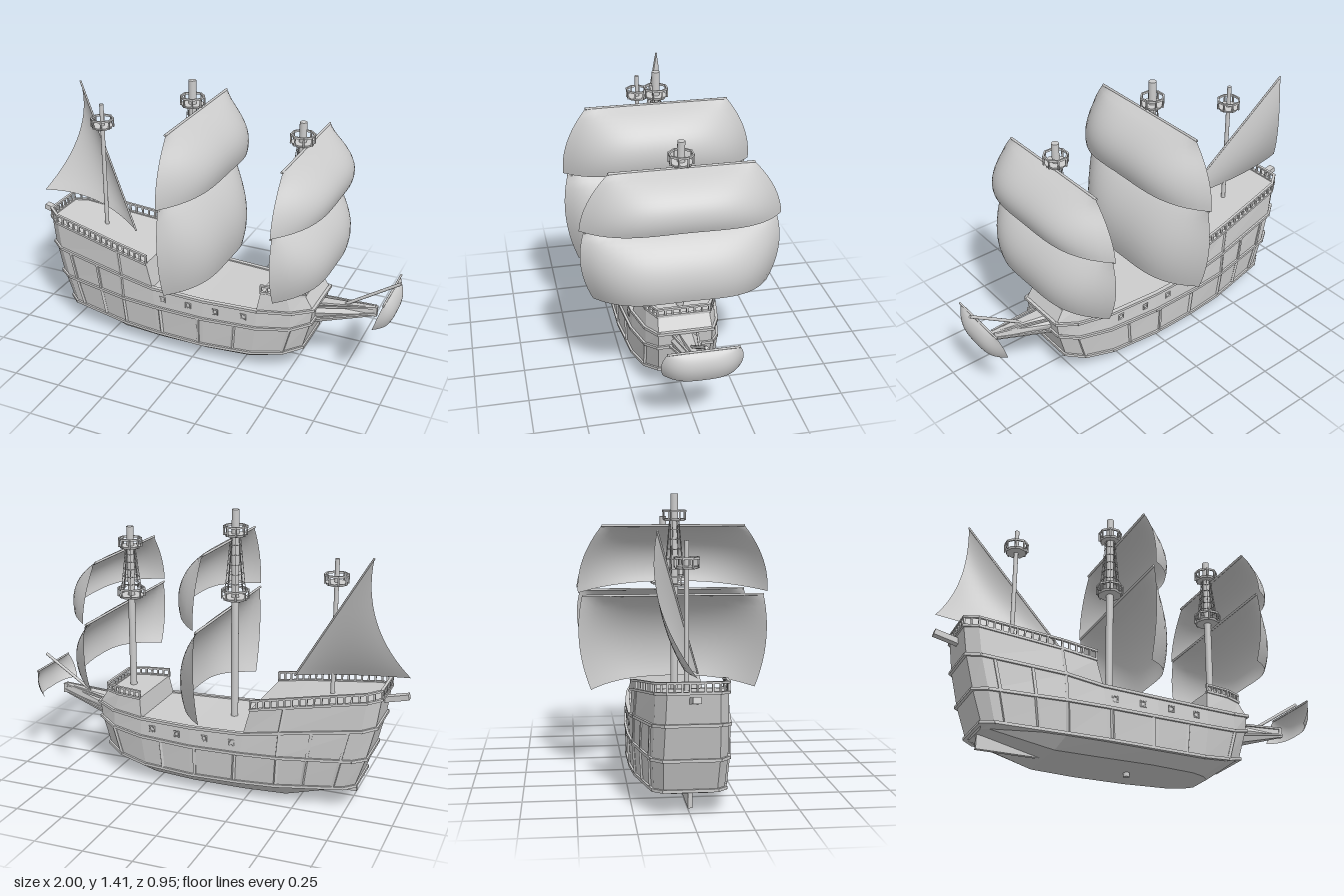
import * as THREE from 'three';
import { mergeGeometries } from 'three/addons/utils/BufferGeometryUtils.js';

const V = (x, y, z) => new THREE.Vector3(x, y, z);
const flip = (p) => V(p.x, p.y, -p.z);
const pts = (rows) => rows.map((r) => V(...r));

// Half outlines of the hull, stern to bow, one per height level
const KEEL = pts([[-0.77, 0.1, 0.08], [-0.74, 0.095, 0.11], [-0.44, 0.025, 0.155], [-0.22, 0.02, 0.165],
  [0.05, 0.02, 0.165], [0.28, 0.02, 0.14], [0.35, 0.02, 0.11], [0.39, 0.02, 0.07]]);
const CHINE = pts([[-0.78, 0.115, 0.12], [-0.73, 0.11, 0.16], [-0.4, 0.09, 0.215], [-0.21, 0.085, 0.228],
  [0.05, 0.08, 0.228], [0.31, 0.085, 0.205], [0.46, 0.105, 0.17], [0.55, 0.135, 0.12]]);
const WALE = pts([[-0.83, 0.265, 0.125], [-0.77, 0.26, 0.168], [-0.41, 0.245, 0.226], [-0.22, 0.24, 0.236],
  [0.05, 0.235, 0.234], [0.33, 0.24, 0.212], [0.5, 0.255, 0.175], [0.59, 0.285, 0.13]]);
const SHEER = pts([[-0.87, 0.43, 0.12], [-0.81, 0.42, 0.165], [-0.42, 0.375, 0.222], [-0.235, 0.345, 0.23],
  [0.05, 0.335, 0.226], [0.33, 0.335, 0.205], [0.5, 0.345, 0.172], [0.6, 0.365, 0.13]]);
const POOP = pts([[-0.89, 0.575, 0.115], [-0.83, 0.565, 0.16], [-0.44, 0.505, 0.213], [-0.27, 0.475, 0.226]]);
const FORE = pts([[0.345, 0.435, 0.185], [0.47, 0.435, 0.165], [0.555, 0.435, 0.125]]);

// Closed solid through mirrored half outlines, capped at both ends
function loft(rings) {
  const pos = [];
  const quad = (a, b, c, d) => [a, b, c, a, c, d].forEach((p) => pos.push(p.x, p.y, p.z));
  const loops = rings.map((r) => [...r, ...r.map(flip).reverse()]);
  const n = loops[0].length;
  for (let k = 0; k + 1 < loops.length; k++)
    for (let i = 0; i < n; i++) {
      const j = (i + 1) % n;
      quad(loops[k][i], loops[k][j], loops[k + 1][j], loops[k + 1][i]);
    }
  const lo = rings[0], hi = rings[rings.length - 1];
  for (let i = 0; i + 1 < lo.length; i++) {
    quad(hi[i], hi[i + 1], flip(hi[i + 1]), flip(hi[i]));
    quad(flip(lo[i]), flip(lo[i + 1]), lo[i + 1], lo[i]);
  }
  const g = new THREE.BufferGeometry();
  g.setAttribute('position', new THREE.Float32BufferAttribute(pos, 3));
  g.computeVertexNormals();
  return g;
}

// Square timber between two points
function beam(a, b, w, h = w) {
  const g = new THREE.BoxGeometry(w, h, a.distanceTo(b) + w * 0.5);
  const m = new THREE.Matrix4().lookAt(a, b, V(0, 1, 0)).setPosition(a.clone().lerp(b, 0.5));
  return g.applyMatrix4(m);
}
const chain = (path, w, h) => path.slice(1).map((p, i) => beam(path[i], p, w, h));
const pole = (a, b, r) => {
  const g = new THREE.CylinderGeometry(r, r, a.distanceTo(b), 10);
  const q = new THREE.Quaternion().setFromUnitVectors(V(0, 1, 0), b.clone().sub(a).normalize());
  g.applyQuaternion(q);
  return g.translate((a.x + b.x) / 2, (a.y + b.y) / 2, (a.z + b.z) / 2);
};

// Balustrade with posts along a path
function railing(path, height) {
  const up = path.map((p) => V(p.x, p.y + height, p.z));
  const out = [...chain(path, 0.016, 0.012), ...chain(up, 0.014, 0.01)];
  for (let i = 0; i + 1 < path.length; i++) {
    const n = Math.max(1, Math.round(path[i].distanceTo(path[i + 1]) / 0.035));
    for (let k = 0; k <= n; k++) out.push(beam(path[i].clone().lerp(path[i + 1], k / n), up[i].clone().lerp(up[i + 1], k / n), 0.009));
  }
  return out;
}

// Smooth surface from a rule over a grid
function sheet(nu, nv, rule) {
  const pos = [], idx = [];
  for (let j = 0; j <= nv; j++)
    for (let i = 0; i <= nu; i++) pos.push(...rule(i / nu, j / nv));
  for (let j = 0; j < nv; j++)
    for (let i = 0; i < nu; i++) {
      const a = j * (nu + 1) + i, b = a + nu + 1;
      idx.push(a, b, a + 1, a + 1, b, b + 1);
    }
  const g = new THREE.BufferGeometry();
  g.setAttribute('position', new THREE.Float32BufferAttribute(pos, 3));
  g.setIndex(idx);
  g.computeVertexNormals();
  return g;
}

// Square sail billowing towards the bow; w = half widths at top, middle and foot
function squareSail(xTop, xFoot, yTop, yFoot, w, depth, rise) {
  return sheet(24, 14, (s, v) => {
    const u = 1 - 2 * s;
    const half = w[0] * (1 - v) * (1 - 2 * v) + w[1] * 4 * v * (1 - v) + w[2] * v * (2 * v - 1);
    const belly = Math.sin(Math.PI * 0.62 * Math.pow(v, 0.75)) * (1 - Math.pow(Math.abs(u), 3.5));
    return [xTop + (xFoot - xTop) * v + depth * belly, yTop + (yFoot - yTop) * v + rise * v * (1 - u * u), u * half];
  });
}

// Octagonal lookout: floor, rail and posts around a mast
function lookout(x, y, r) {
  const out = [new THREE.CylinderGeometry(r, r * 0.92, 0.012, 8).translate(x, y, 0)];
  const ring = Array.from({ length: 9 }, (_, i) => {
    const a = (i + 0.5) * Math.PI / 4;
    return V(x + Math.cos(a) * r, y + 0.042, Math.sin(a) * r);
  });
  out.push(...chain(ring, 0.008, 0.01));
  ring.forEach((p) => out.push(beam(V(p.x, y, p.z), p, 0.007)));
  return out;
}

// Shrouds and rungs narrowing between two lookouts
function shrouds(x, y0, y1) {
  const out = [];
  const at = (i, t) => {
    const a = (i + 0.5) * Math.PI / 4, r = 0.052 - 0.028 * t;
    return V(x + Math.cos(a) * r, y0 + (y1 - y0) * t, Math.sin(a) * r);
  };
  for (let i = 0; i < 8; i++) {
    out.push(beam(at(i, 0), at(i, 1), 0.003));
    for (let k = 1; k < 6; k++) out.push(beam(at(i, k / 6), at(i + 1, k / 6), 0.0025));
  }
  return out;
}

export function createModel() {
  const model = new THREE.Group();
  const grey = new THREE.MeshStandardMaterial({ color: 0xcccccc, side: THREE.DoubleSide });
  grey.name = 'light grey';
  const add = (name, geos) => {
    const list = [].concat(geos);
    const mesh = new THREE.Mesh(list.length > 1 ? mergeGeometries(list) : list[0], grey);
    mesh.name = name;
    model.add(mesh);
  };

  // Hull and raised decks
  add('hull', loft([KEEL, CHINE, WALE, SHEER]));
  add('quarterdeck', loft([SHEER.slice(0, 4), POOP]));
  add('forecastle', loft([SHEER.slice(5), FORE]));

  // Wales running round the hull
  [CHINE, WALE, SHEER].forEach((lv) => {
    const loop = [...lv, ...lv.map(flip).reverse(), lv[0]];
    add('wale', chain(loop, 0.022, 0.014));
  });

  // Upright ribs, at fractional positions along the outlines
  const along = (lv, f) => lv[Math.floor(f)].clone().lerp(lv[Math.min(lv.length - 1, Math.floor(f) + 1)], f % 1);
  const ribs = [];
  [[1.15, 3], [1.6, 3], [2, 4], [3.1, 2], [3.9, 2], [4.6, 2], [6, 2]].forEach(([f, top]) => {
    const path = [CHINE, WALE, SHEER, POOP].slice(0, top).map((lv) => along(lv, f));
    ribs.push(...chain(path, 0.014), ...chain(path.map(flip), 0.014));
  });
  add('ribs', ribs);

  // Gun ports
  const ports = [];
  [-0.175, -0.03, 0.12, 0.265].forEach((x) => [1, -1].forEach((s) => {
    const z = x > 0.2 ? 0.214 : 0.231;
    ports.push(new THREE.TorusGeometry(0.018, 0.006, 4, 4).rotateZ(Math.PI / 4).translate(x, 0.29, s * z));
  }));
  add('gunPorts', ports);

  // Railings
  add('quarterdeckRailing', railing([...[...POOP].reverse(), ...POOP.map(flip)], 0.045));
  add('forecastleRailing', railing([...FORE, ...[...FORE].reverse().map(flip)], 0.036));

  // Beak, bowsprit, stern timber, rudder fin and base peg
  const beak = [[0.56, 0.24, 0.35, 0.075], [0.88, 0.335, 0.385, 0.012]].map(([x, lo, hi, w]) =>
    [V(x, lo, w * 0.7), V(x, hi - 0.04, w), V(x, hi, w * 0.45)]);
  const beakLoop = beak.map((h) => [...h, ...h.map(flip).reverse()]);
  add('beak', sheet(6, 1, (s, v) => beakLoop[Math.round(v)][Math.round(s * 6) % 6].toArray()).toNonIndexed());
  model.children[model.children.length - 1].geometry.computeVertexNormals();
  add('beakTip', new THREE.BoxGeometry(0.02, 0.05, 0.024).translate(0.88, 0.36, 0));
  add('beakRails', [1, -1].flatMap((s) => [beam(V(0.59, 0.345, s * 0.06), V(0.88, 0.382, s * 0.01), 0.01),
    beam(V(0.59, 0.285, s * 0.075), V(0.88, 0.35, s * 0.01), 0.01)]));
  add('bowsprit', pole(V(0.58, 0.265, 0), V(0.995, 0.54, 0), 0.008));
  add('sternTimber', beam(V(-0.99, 0.565, 0), V(-0.86, 0.535, 0), 0.036, 0.028));
  const fin = new THREE.Shape([[-0.765, 0.03], [-0.4, 0.03], [-0.44, 0.06], [-0.765, 0.12]].map((p) => new THREE.Vector2(...p)));
  add('rudderFin', new THREE.ExtrudeGeometry(fin, { depth: 0.02, bevelEnabled: false }).translate(0, 0, -0.01));
  add('basePeg', new THREE.CylinderGeometry(0.016, 0.016, 0.03, 12).translate(-0.01, 0.015, 0));

  // Masts with lookouts and shrouds
  [['main', -0.105, 0.32, 1.41, 0.019, [0.965, 1.285]], ['fore', 0.468, 0.42, 1.285, 0.018, [0.92, 1.18]],
    ['mizzen', -0.62, 0.5, 1.21, 0.011, [1.09]]].forEach(([name, x, y0, y1, r, nests]) => {
    add(name + 'Mast', new THREE.CylinderGeometry(r, r, y1 - y0, 16).translate(x, (y0 + y1) / 2, 0));
    nests.forEach((y, i) => add(name + 'Lookout', lookout(x, y, nests.length > 1 && i === 0 ? 0.067 : 0.057)));
    if (nests.length > 1) add(name + 'Shrouds', shrouds(x, nests[0] + 0.03, nests[1]));
  });

  // Square sails and their yards
  [['mainUpper', -0.075, 1.255, 0.925, [0.355, 0.45, 0.475], 0.04], ['mainLower', -0.075, 0.91, 0.437, [0.455, 0.472, 0.415], 0.035],
    ['foreUpper', 0.495, 1.165, 0.897, [0.338, 0.435, 0.475], 0.03], ['foreLower', 0.495, 0.885, 0.537, [0.455, 0.472, 0.42], 0.035],
  ].forEach(([name, x, top, foot, w, rise]) => {
    add(name + 'Sail', squareSail(x, x, top, foot, w, 0.185, rise));
    add(name + 'Yard', pole(V(x - 0.004, top, -w[0]), V(x - 0.004, top, w[0]), 0.006));
  });
  add('spritSail', squareSail(0.955, 0.912, 0.495, 0.36, [0.165, 0.187, 0.175], 0.065, -0.008));
  add('spritYard', pole(V(0.955, 0.495, -0.165), V(0.955, 0.495, 0.165), 0.005));

  // Three-cornered mizzen sail with a hollow after edge and a belly
  const A = V(-0.83, 1.26, -0.15), B = V(-1, 0.66, 0), C = V(-0.4, 0.57, 0.08);
  add('mizzenSail', sheet(14, 16, (s, v) => {
    const a = 1 - v, b = v * (1 - s), c = v * s;
    const p = V(0, 0, 0).addScaledVector(A, a).addScaledVector(B, b).addScaledVector(C, c);
    p.x += 0.24 * a * b;
    p.y += 0.12 * b * c;
    p.z -= 0.28 * a * b + 0.25 * b * c + 0.5 * a * b * c;
    return p.toArray();
  }));
  add('mizzenYard', pole(A, C, 0.005));

  return model;
}
